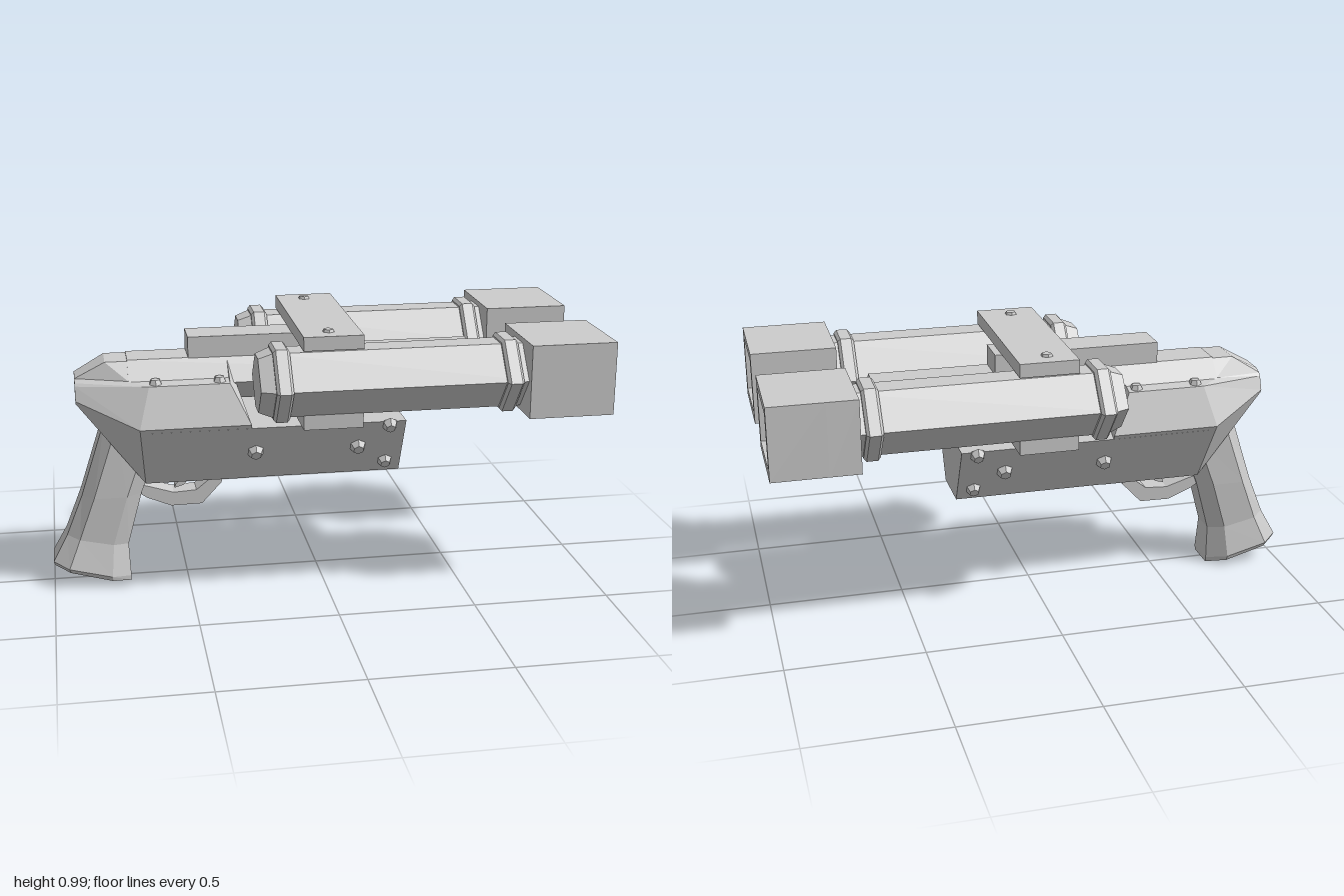
import * as THREE from 'three';

const grey = new THREE.MeshStandardMaterial({ color: 0xcccccc, flatShading: true });
grey.name = 'plain grey';

// Skin a row of rings (each a list of [x, y, z]) and cap both ends
function loft(rings) {
  const n = rings[0].length, tris = [];
  for (let r = 0; r + 1 < rings.length; r++) {
    for (let i = 0; i < n; i++) {
      const j = (i + 1) % n, a = rings[r], b = rings[r + 1];
      tris.push([a[i], a[j], b[j]], [a[i], b[j], b[i]]);
    }
  }
  const first = rings[0], last = rings[rings.length - 1];
  for (let i = 1; i + 1 < n; i++) {
    tris.push([first[0], first[i + 1], first[i]], [last[0], last[i], last[i + 1]]);
  }
  // turn all faces outward
  let volume = 0;
  for (const [a, b, c] of tris) {
    volume += a[0] * (b[1] * c[2] - b[2] * c[1]) + a[1] * (b[2] * c[0] - b[0] * c[2]) + a[2] * (b[0] * c[1] - b[1] * c[0]);
  }
  if (volume < 0) tris.forEach((t) => t.reverse());
  const geo = new THREE.BufferGeometry();
  geo.setAttribute('position', new THREE.Float32BufferAttribute(tris.flat(2), 3));
  geo.computeVertexNormals();
  return geo;
}

// Ring from half-section points [x, y, z], mirrored across z
const mirrorRing = (half) => [...half, ...half.map(([x, y, z]) => [x, y, -z]).reverse()];

// Six-sided bar along x; stations are [x, scale]
function hexBar(stations, halfFlat, halfWidth, halfHeight) {
  const pts = [[halfHeight, halfFlat], [0, halfWidth], [-halfHeight, halfFlat],
    [-halfHeight, -halfFlat], [0, -halfWidth], [halfHeight, -halfFlat]];
  return loft(stations.map(([x, s]) => pts.map(([y, z]) => [x, y * s, z * s])));
}

function boxBetween(x0, x1, y0, y1, halfZ) {
  return new THREE.BoxGeometry(x1 - x0, y1 - y0, halfZ * 2).translate((x0 + x1) / 2, (y0 + y1) / 2, 0);
}

function plate(points, depth) {
  const shape = new THREE.Shape(points.map(([x, y]) => new THREE.Vector2(x, y)));
  return new THREE.ExtrudeGeometry(shape, { depth, bevelEnabled: false }).translate(0, 0, -depth / 2);
}

export function createModel() {
  const model = new THREE.Group();
  const add = (name, geo, parent = model) => {
    const mesh = new THREE.Mesh(geo, grey);
    mesh.name = name;
    parent.add(mesh);
    return mesh;
  };

  // Rear body: faceted tail widening into a sloped housing
  add('rearBody', loft([
    [[-0.89, 0.80, 0.05], [-0.89, 0.79, 0.075], [-0.89, 0.78, 0.085], [-0.89, 0.73, 0.105], [-0.89, 0.72, 0.1]],
    [[-0.78, 0.86, 0.065], [-0.70, 0.80, 0.12], [-0.63, 0.79, 0.17], [-0.67, 0.645, 0.222], [-0.65, 0.40, 0.095]],
    [[-0.34, 0.86, 0.065], [-0.34, 0.80, 0.12], [-0.34, 0.79, 0.17], [-0.27, 0.645, 0.222], [-0.27, 0.40, 0.095]],
  ].map(mirrorRing)));

  // Lower frame with sides sloping inward
  add('lowerFrame', loft([-0.64, 0.30].map((x) => mirrorRing([[x, 0.63, 0.215], [x, 0.402, 0.097]]))));

  // Middle barrel and the rail on top of it
  add('middleBarrel', hexBar([[-0.7, 1], [0.585, 1]], 0.065, 0.14, 0.08).translate(0, 0.784, 0));
  add('topRail', boxBetween(-0.48, 0.14, 0.85, 0.94, 0.067));

  // Crossbars joining the side barrels
  add('upperCrossbar', boxBetween(-0.1, 0.115, 0.94, 0.99, 0.337));
  add('lowerCrossbar', boxBetween(-0.1, 0.115, 0.652, 0.71, 0.337));

  // Side barrels with collars and hollow square muzzles
  const hole = new THREE.Path([[-0.137, -0.1], [0.137, -0.1], [0.137, 0.1], [-0.137, 0.1]].map((p) => new THREE.Vector2(...p)));
  const rim = new THREE.Shape([[-0.169, -0.133], [0.169, -0.133], [0.169, 0.133], [-0.169, 0.133]].map((p) => new THREE.Vector2(...p)));
  rim.holes.push(hole);
  for (const side of [1, -1]) {
    const barrel = new THREE.Group();
    barrel.name = side > 0 ? 'leftBarrel' : 'rightBarrel';
    barrel.position.set(0, 0.82, side * 0.287);
    model.add(barrel);
    add('barrelTube', hexBar([[-0.26, 0.84], [-0.21, 1], [0.72, 1]], 0.048, 0.145, 0.116), barrel);
    for (const x of [-0.18, 0.64]) {
      add('barrelCollar', hexBar([[x - 0.03, 0.92], [x - 0.02, 1], [x + 0.02, 1], [x + 0.03, 0.92]], 0.06, 0.168, 0.132), barrel);
    }
    add('muzzleBack', new THREE.BoxGeometry(0.11, 0.266, 0.338).translate(0.745, 0.002, 0), barrel);
    add('muzzleSleeve', new THREE.ExtrudeGeometry(rim, { depth: 0.2, bevelEnabled: false })
      .rotateY(Math.PI / 2).translate(0.8, 0.002, 0), barrel);
  }

  // Hexagonal bolts, aligned to the surface they sit on
  const boltGeo = new THREE.CylinderGeometry(0.02, 0.034, 0.03, 6);
  const addBolt = (x, y, z, normal, size = 1) => {
    const bolt = add('bolt', boltGeo);
    bolt.position.set(x, y, z);
    bolt.scale.setScalar(size);
    bolt.quaternion.setFromUnitVectors(new THREE.Vector3(0, 1, 0), normal.normalize());
  };
  for (const side of [1, -1]) {
    for (const [x, y, size] of [[-0.25, 0.52, 1], [0.13, 0.52, 1], [0.24, 0.61, 0.9], [0.24, 0.445, 0.9]]) {
      const z = 0.097 + (y - 0.402) * 0.518 + 0.01;
      addBolt(x, y, side * z, new THREE.Vector3(0, -0.46, side * 0.89), size);
    }
    for (const x of [-0.605, -0.375]) addBolt(x, 0.797, side * 0.142, new THREE.Vector3(0, 1, 0), 0.85);
    addBolt(0, 0.986, side * 0.265, new THREE.Vector3(0, 1, 0), 0.9);
  }

  // Grip: chamfered sections from body to flared foot [back, front, halfWidth]
  const gripRing = ([bx, by, fx, fy, w]) => mirrorRing([[0, 0.55], [0.2, 1], [0.75, 1], [1, 0.55]]
    .map(([t, k]) => [bx + (fx - bx) * t, by + (fy - by) * t, w * k]));
  add('grip', loft([
    [-0.79, 0.64, -0.60, 0.52, 0.088],
    [-0.885, 0.35, -0.665, 0.35, 0.093],
    [-0.945, 0.20, -0.72, 0.15, 0.09],
    [-1.0, 0.10, -0.715, 0.025, 0.113],
    [-0.995, 0.085, -0.715, 0.005, 0.106],
  ].map(gripRing)));

  // Trigger guard and trigger
  add('triggerGuard', plate([[-0.68, 0.35], [-0.645, 0.325], [-0.555, 0.288], [-0.44, 0.29], [-0.365, 0.37], [-0.355, 0.42],
    [-0.4, 0.42], [-0.41, 0.385], [-0.46, 0.345], [-0.545, 0.34], [-0.64, 0.37], [-0.68, 0.38]], 0.084));
  add('trigger', plate([[-0.48, 0.42], [-0.485, 0.385], [-0.505, 0.36], [-0.54, 0.35], [-0.535, 0.365],
    [-0.515, 0.385], [-0.52, 0.42]], 0.04));

  return model;
}
